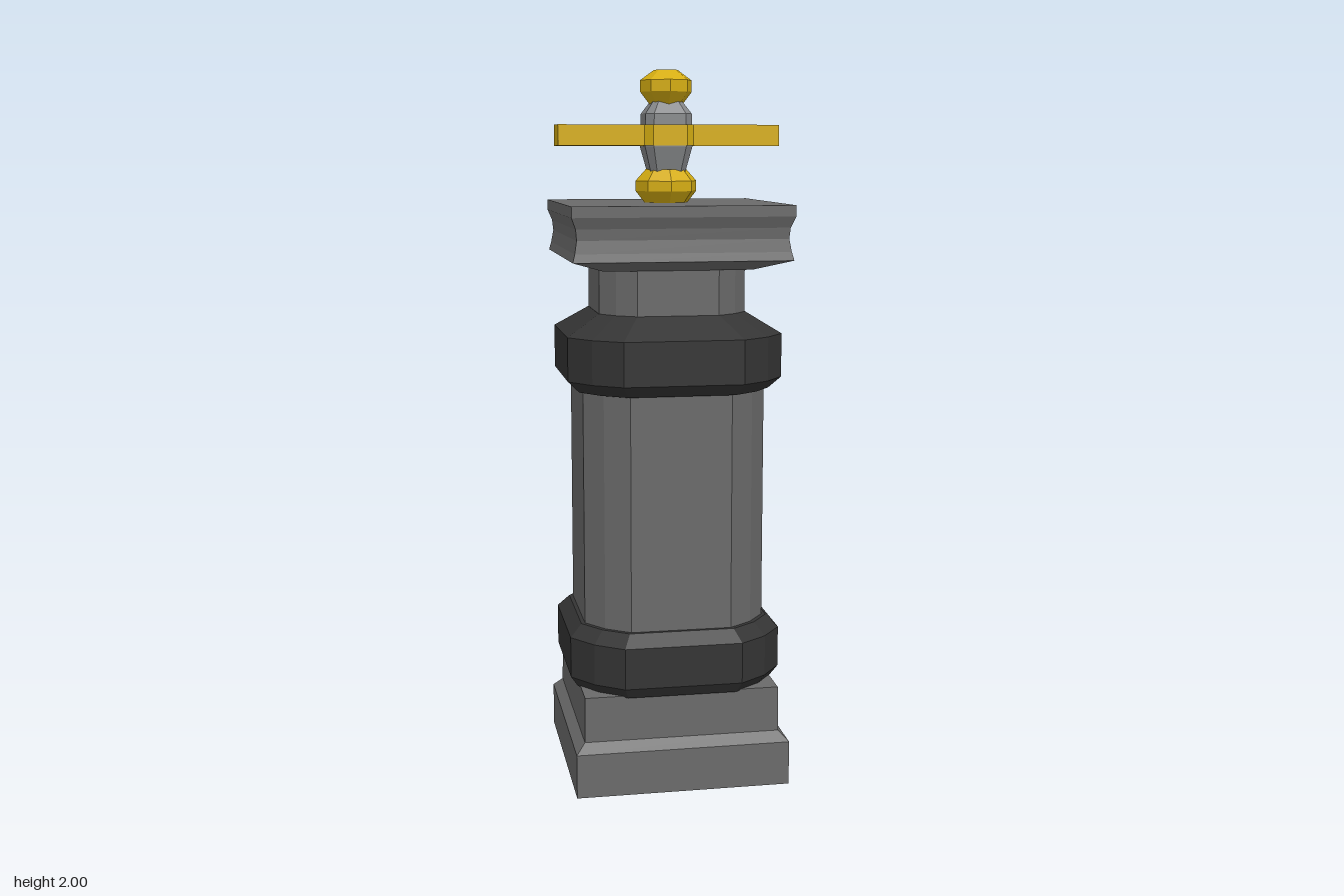
import * as THREE from 'three';

const mat = (color) => new THREE.MeshStandardMaterial({ color, flatShading: true });

// Quarter outlines, repeated four times around the axis (unit half width)
const SQUARE = [[1, 1]];
const PILLAR = [[1, 0.55], [0.81, 0.81], [0.55, 1]];
const CHAMFERED = [[1, 0.68], [0.68, 1]];
const OCTAGON = [[1, 0], [Math.SQRT1_2, Math.SQRT1_2]];

// Closed solid from an outline scaled by each [height, half width] ring
function loft(quarter, rings) {
  const outline = [];
  for (let q = 0; q < 4; q++) {
    for (let [x, z] of quarter) {
      for (let k = 0; k < q; k++) [x, z] = [-z, x];
      outline.push([x, z]);
    }
  }
  const n = outline.length;
  const pos = [];
  const index = [];
  for (const [y, r] of rings) for (const [x, z] of outline) pos.push(x * r, y, z * r);
  const bottom = pos.length / 3;
  const top = bottom + 1;
  const last = (rings.length - 1) * n;
  pos.push(0, rings[0][0], 0, 0, rings[rings.length - 1][0], 0);
  for (let i = 0; i < n; i++) {
    const j = (i + 1) % n;
    for (let k = 0; k < last; k += n) {
      index.push(k + i, k + n + i, k + j, k + j, k + n + i, k + n + j);
    }
    index.push(bottom, i, j, top, last + j, last + i);
  }
  const g = new THREE.BufferGeometry();
  g.setAttribute('position', new THREE.Float32BufferAttribute(pos, 3));
  g.setIndex(index);
  const flat = g.toNonIndexed();
  flat.computeVertexNormals();
  return flat;
}

export function createModel() {
  const model = new THREE.Group();
  model.name = 'bollard';
  const stone = mat(0x6a6a6a);
  const iron = mat(0x343434);
  const brass = mat(0xd6ae12);
  const steel = mat(0x858789);

  const body = new THREE.Group();
  body.name = 'body';
  body.position.x = -0.004;
  model.add(body);

  const add = (parent, name, quarter, rings, material) => {
    const mesh = new THREE.Mesh(loft(quarter, rings), material);
    mesh.name = name;
    parent.add(mesh);
  };

  // Stepped square base
  add(body, 'base', SQUARE, [[0, 0.303], [0.125, 0.303], [0.152, 0.277], [0.28, 0.275]], stone);

  // Shaft and neck
  add(body, 'shaft', PILLAR, [[0.28, 0.257], [1.2, 0.257]], stone);
  add(body, 'neck', PILLAR, [[1.2, 0.206], [1.47, 0.206]], stone);

  // Dark collars around the shaft
  add(body, 'lowerBand', PILLAR, [[0.275, 0.28], [0.307, 0.301], [0.423, 0.301], [0.457, 0.268]], iron);
  add(body, 'upperBand', PILLAR, [[1.12, 0.268], [1.153, 0.301], [1.275, 0.301], [1.333, 0.208]], iron);

  // Moulded square cap
  add(body, 'cap', SQUARE, [
    [1.457, 0.206], [1.487, 0.3], [1.51, 0.294], [1.545, 0.288],
    [1.575, 0.291], [1.605, 0.303], [1.635, 0.303],
  ], stone);

  // Finial stacked on the cap
  const finial = new THREE.Group();
  finial.name = 'finial';
  finial.position.x = -0.002;
  model.add(finial);
  add(finial, 'lowerKnob', OCTAGON, [[1.635, 0.062], [1.667, 0.087], [1.695, 0.087], [1.727, 0.058]], brass);
  add(finial, 'stem', CHAMFERED, [[1.72, 0.049], [1.79, 0.067], [1.88, 0.065], [1.915, 0.04]], steel);
  add(finial, 'upperKnob', OCTAGON, [[1.905, 0.046], [1.94, 0.073], [1.972, 0.073], [2, 0.034]], brass);

  // Crossbar with a collar wrapping the stem
  add(finial, 'barCollar', CHAMFERED, [[1.792, 0.07], [1.85, 0.07]], brass);
  const bar = new THREE.Mesh(new THREE.BoxGeometry(0.624, 0.058, 0.098), brass);
  bar.name = 'crossbar';
  bar.position.y = 1.821;
  model.add(bar);

  return model;
}
